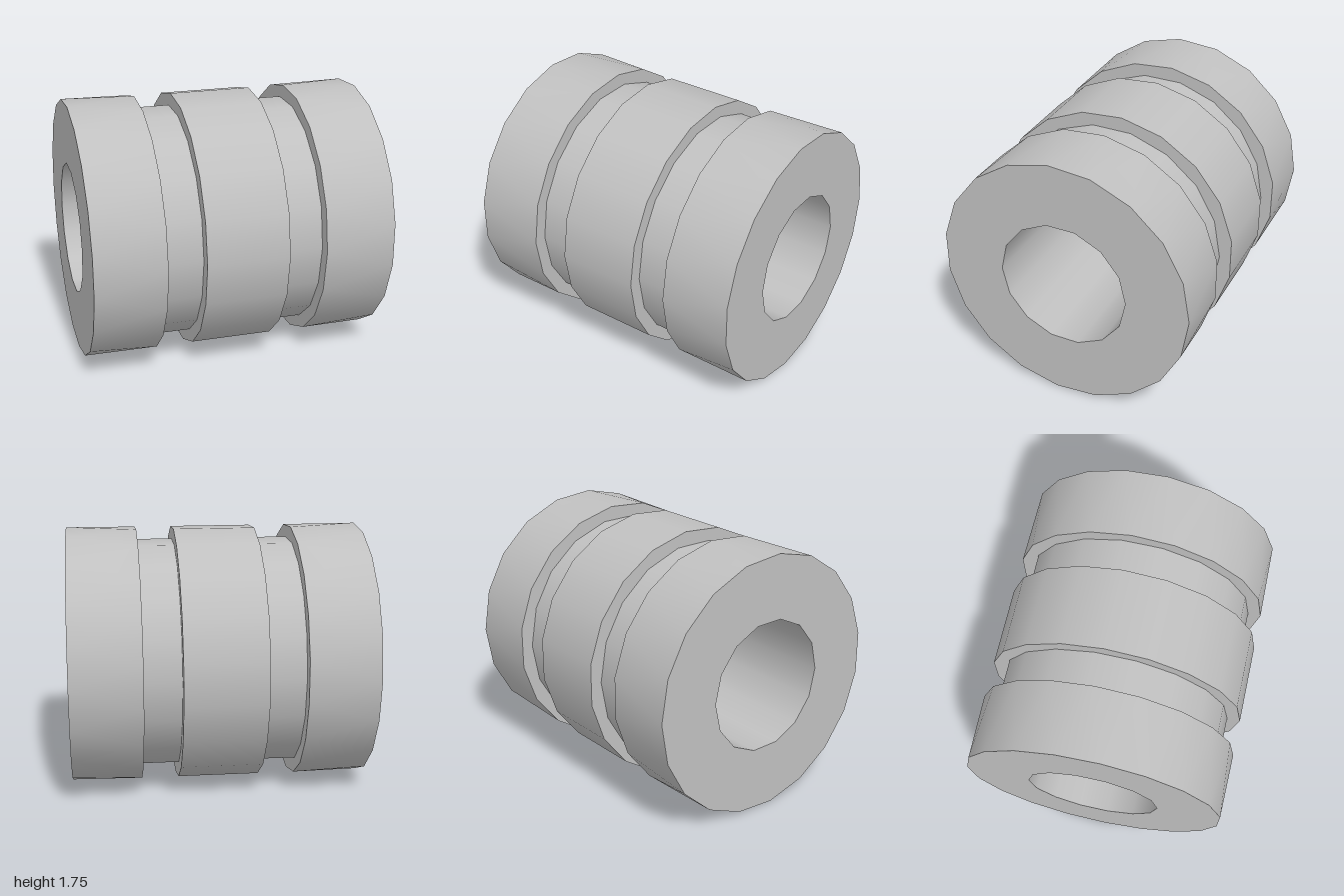
import * as THREE from 'three';

const SIDES = 19, GROOVE_SIDES = 18, HOLE_SIDES = 14;
const R = 0.877, GROOVE_R = 0.787, HOLE_R = 0.445;
const CENTER_Y = R * Math.cos(Math.PI / SIDES / 2);
const MID = 0.276, INNER = 0.527, END = 1;

// Open tube with its axis along x; its "top" rim ends up on the given side.
// twist turns that rim about the axis.
function tube(r, sides, length, side = 1, twist = 0) {
  const geo = new THREE.CylinderGeometry(r, r, length, sides, 1, true);
  const pos = geo.attributes.position, nor = geo.attributes.normal;
  const axis = new THREE.Vector3(0, 1, 0), v = new THREE.Vector3();
  for (let i = 0; i < pos.count; i++) {
    if (pos.getY(i) <= 0) continue;
    for (const attr of [pos, nor]) {
      v.fromBufferAttribute(attr, i).applyAxisAngle(axis, twist);
      attr.setXYZ(i, v.x, v.y, v.z);
    }
  }
  return geo.rotateZ(-side * Math.PI / 2);
}

// Polygon outline with a corner at angle `start`
function polygon(r, sides, start) {
  return Array.from({ length: sides }, (_, i) => {
    const a = start + (i / sides) * Math.PI * 2;
    return new THREE.Vector2(r * Math.cos(a), r * Math.sin(a));
  });
}

// Flat ring facing +x (side 1) or -x (side -1); flip puts the outer corner at -z
function ring(outerR, outerSides, innerR, innerSides, side, flip = false) {
  const zCorner = side > 0 ? Math.PI : 0;
  const shape = new THREE.Shape(polygon(outerR, outerSides, zCorner + (flip ? Math.PI : 0)));
  shape.holes.push(new THREE.Path(polygon(innerR, innerSides, 0)));
  return new THREE.ShapeGeometry(shape).rotateY(side * Math.PI / 2);
}

export function createModel() {
  const model = new THREE.Group();
  model.name = 'groovedBushing';
  const metal = new THREE.MeshStandardMaterial({ color: 0xc0c0c0 });
  metal.name = 'light grey';

  const add = (name, geo, x) => {
    const mesh = new THREE.Mesh(geo, metal);
    mesh.name = name;
    mesh.position.set(x, CENTER_Y, 0);
    model.add(mesh);
  };

  add('middleCollar', tube(R, SIDES, MID * 2), 0);

  for (const side of [1, -1]) {
    const label = side > 0 ? 'left' : 'right';
    // End collar, its outer rim turned by half a side
    add(label + 'EndCollar',
      tube(R, SIDES, END - INNER, side, -Math.PI / SIDES), side * (END + INNER) / 2);
    add(label + 'EndFace', ring(R, SIDES, HOLE_R, HOLE_SIDES, side, true), side * END);
    // Groove floor and its two walls
    add(label + 'GrooveFloor',
      tube(GROOVE_R, GROOVE_SIDES, INNER - MID), side * (INNER + MID) / 2);
    add(label + 'GrooveOuterWall', ring(R, SIDES, GROOVE_R, GROOVE_SIDES, -side), side * INNER);
    add(label + 'GrooveInnerWall', ring(R, SIDES, GROOVE_R, GROOVE_SIDES, side), side * MID);
  }

  // Through bore, turned to face inward
  const bore = tube(HOLE_R, HOLE_SIDES, END * 2).scale(-1, 1, 1);
  const n = bore.attributes.normal;
  for (let i = 0; i < n.count; i++) n.setXYZ(i, -n.getX(i), -n.getY(i), -n.getZ(i));
  add('bore', bore, 0);

  return model;
}
